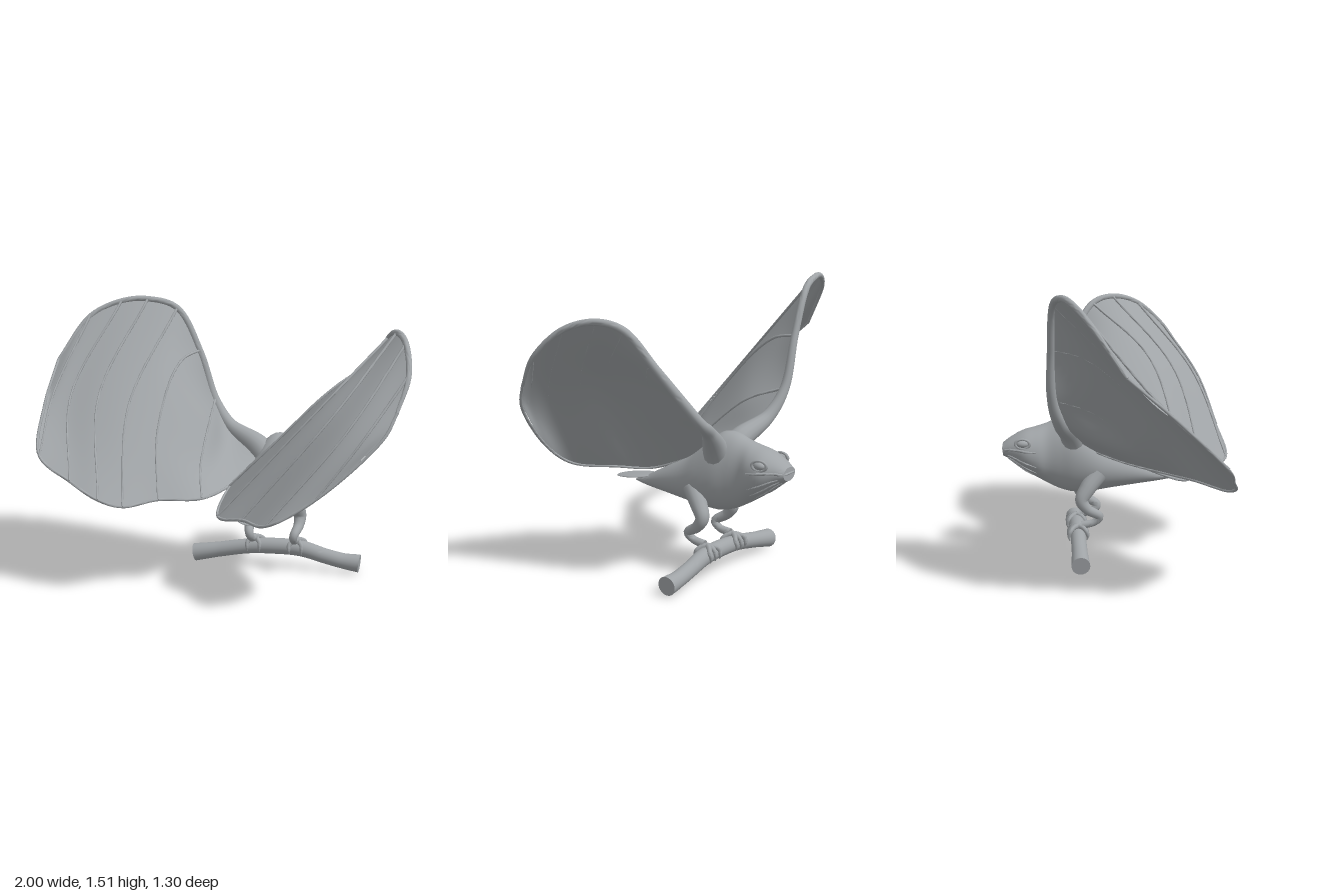
import * as THREE from 'three';
import { mergeVertices, toCreasedNormals } from 'three/addons/utils/BufferGeometryUtils.js';

const grey = new THREE.MeshStandardMaterial({ color: 0xa0a4a7, side: THREE.DoubleSide });
grey.name = 'stone grey';
const MID = 0.215; // x of the body's middle plane
const v3 = (p) => new THREE.Vector3(p[0], p[1], p[2]);
const spline = (pts, type = 'centripetal') => new THREE.CatmullRomCurve3(pts.map(v3), false, type);

// Skin a rectangular grid of points
function skin(rows) {
  const pos = [], idx = [], n = rows[0].length;
  rows.forEach((row) => row.forEach((p) => pos.push(p.x, p.y, p.z)));
  for (let i = 0; i < rows.length - 1; i++) {
    for (let j = 0; j < n - 1; j++) {
      const a = i * n + j, b = a + n;
      idx.push(a, a + 1, b, b, a + 1, b + 1);
    }
  }
  const g = new THREE.BufferGeometry();
  g.setAttribute('position', new THREE.Float32BufferAttribute(pos, 3));
  g.setIndex(idx);
  return toCreasedNormals(mergeVertices(g, 1e-5), 0.9);
}

// Tapering tube through points, closed at both ends; one radius per point
function limb(points, radii, steps = 40, sides = 12) {
  const curve = spline(points), f = curve.computeFrenetFrames(steps, false);
  const rows = [];
  const ring = (i, scale) => {
    const u = i / steps, c = curve.getPointAt(u);
    const t = curve.getUtoTmapping(u) * (radii.length - 1);
    const k = Math.min(Math.floor(t), radii.length - 2);
    const r = scale * THREE.MathUtils.lerp(radii[k], radii[k + 1], t - k);
    const row = [];
    for (let j = 0; j <= sides; j++) {
      const a = (j / sides) * Math.PI * 2;
      row.push(c.clone().addScaledVector(f.normals[i], r * Math.cos(a)).addScaledVector(f.binormals[i], r * Math.sin(a)));
    }
    rows.push(row);
  };
  ring(0, 0);
  for (let i = 0; i <= steps; i++) ring(i, 1);
  ring(steps, 0);
  return skin(rows);
}

function add(group, name, geometry) {
  const m = new THREE.Mesh(geometry, grey);
  m.name = name;
  group.add(m);
  return m;
}

// Body profile stations: z, top, bottom, half width
const STATIONS = [
  [-0.645, 0.625, 0.555, 0.056], [-0.6, 0.658, 0.53, 0.084], [-0.53, 0.695, 0.475, 0.12],
  [-0.46, 0.715, 0.43, 0.12], [-0.4, 0.735, 0.395, 0.106], [-0.33, 0.762, 0.36, 0.115],
  [-0.25, 0.755, 0.34, 0.132], [-0.15, 0.675, 0.345, 0.135], [-0.05, 0.6, 0.36, 0.118],
  [0.1, 0.525, 0.38, 0.085], [0.22, 0.462, 0.395, 0.05], [0.315, 0.42, 0.41, 0.01]];
const heights = spline(STATIONS.map((s) => [s[0], s[1], s[2]]), 'catmullrom');
const widths = spline(STATIONS.map((s) => [s[0], s[3], 0]), 'catmullrom');
function bodyPoint(u, angle, scale = 1) {
  const h = heights.getPoint(u), w = widths.getPoint(u).y;
  return new THREE.Vector3(MID + scale * w * Math.cos(angle),
    (h.y + h.z) / 2 + scale * ((h.y - h.z) / 2) * Math.sin(angle), h.x);
}

function makeBody() {
  const body = new THREE.Group();
  body.name = 'body';
  const rows = [], n = 50, sides = 32;
  const ring = (u, s) => rows.push(Array.from({ length: sides + 1 },
    (_, j) => bodyPoint(u, (j / sides) * Math.PI * 2, s)));
  ring(0, 0);
  for (let i = 0; i <= n; i++) ring(i / n, 1);
  ring(1, 0);
  add(body, 'torso', skin(rows));
  // Flat tail fan
  const tail = add(body, 'tail', new THREE.SphereGeometry(1, 20, 12));
  tail.scale.set(0.08, 0.009, 0.13);
  tail.rotation.x = 0.12;
  tail.position.set(MID, 0.443, 0.31);

  const trace = (us, angle) => us.map((u) => bodyPoint(u, angle).toArray());
  // Mouth line runs round the muzzle
  const cheek = trace([0.27, 0.18, 0.09, 0.02], 0.1);
  const far = cheek.map((p) => [2 * MID - p[0], p[1], p[2]]).reverse();
  add(body, 'mouth', limb([...cheek, ...far], [0.003, 0.007, 0.007, 0.006, 0.006, 0.007, 0.007, 0.003], 60, 8));
  for (const s of [-1, 1]) {
    // Throat pleats
    for (const k of [0.35, 0.7, 1.05]) {
      add(body, 'throatPleat', limb(trace([0.06, 0.13, 0.2, 0.27], -Math.PI / 2 + s * k), [0.003, 0.006, 0.006, 0.002], 16, 8));
    }
    const eye = add(body, 'eye', new THREE.SphereGeometry(1, 20, 14));
    eye.scale.set(0.02, 0.02, 0.032);
    eye.position.set(MID + s * 0.108, 0.637, -0.535);
    const lid = add(body, 'eyelid', new THREE.TorusGeometry(0.034, 0.008, 8, 28));
    lid.scale.set(1.15, 0.75, 1);
    lid.rotation.y = Math.PI / 2 + s * 0.15;
    lid.position.set(MID + s * 0.108, 0.637, -0.535);
  }
  return body;
}

// Ribs run from the trailing edge to the leading edge
const LEFT_RIBS = [
  [[0.17, 0.62, -0.2], [0.24, 0.66, -0.23], [0.32, 0.69, -0.27]],
  [[0.12, 0.61, -0.15], [0.32, 0.76, -0.2], [0.46, 0.8, -0.33]],
  [[0.08, 0.59, -0.1], [0.28, 0.78, -0.12], [0.48, 0.93, -0.2], [0.6, 0.885, -0.372]],
  [[0.03, 0.53, 0.08], [0.27, 0.77, 0.08], [0.52, 1.025, 0.0], [0.66, 1.13, -0.11], [0.752, 1.15, -0.232]],
  [[0.04, 0.435, 0.35], [0.57, 1.03, 0.21], [0.84, 1.335, -0.11]],
  [[0.2, 0.46, 0.47], [0.62, 0.97, 0.35], [0.895, 1.372, 0.01]],
  [[0.36, 0.485, 0.63], [0.72, 0.93, 0.48], [0.955, 1.33, 0.165]],
  [[0.6, 0.63, 0.61], [0.8, 0.9, 0.52], [0.988, 1.19, 0.325]],
  [[0.9, 0.92, 0.5], [0.925, 0.96, 0.48], [0.95, 1.03, 0.44]]];
const RIGHT_RIBS = [
  [[0.13, 0.6, -0.18], [0.11, 0.64, -0.22], [0.1, 0.69, -0.27]],
  [[0.04, 0.54, 0.02], [-0.04, 0.64, -0.1], [-0.08, 0.79, -0.335]],
  [[-0.08, 0.5, 0.25], [-0.13, 0.64, 0.1], [-0.15, 0.85, -0.16], [-0.18, 0.93, -0.375]],
  [[-0.28, 0.51, 0.37], [-0.35, 0.8, 0.17], [-0.35, 1.08, -0.09], [-0.32, 1.175, -0.24], [-0.27, 1.2, -0.38]],
  [[-0.43, 0.495, 0.5], [-0.52, 0.95, 0.13], [-0.4, 1.44, -0.37]],
  [[-0.55, 0.53, 0.53], [-0.69, 1, 0.12], [-0.56, 1.49, -0.335]],
  [[-0.72, 0.61, 0.49], [-0.85, 1, 0.12], [-0.7, 1.48, -0.29]],
  [[-0.91, 0.72, 0.43], [-0.95, 1, 0.13], [-0.86, 1.4, -0.21]],
  [[-0.975, 0.95, 0.2], [-0.985, 1.03, 0.09], [-0.993, 1.17, -0.05]]];

function makeWing(name, ribs, side) {
  const wing = new THREE.Group();
  wing.name = name;
  const curves = ribs.map((r) => spline(r)), last = ribs.length - 1;
  // Membrane lofted across the ribs
  const columns = [];
  for (let j = 0; j <= 30; j++) {
    const across = new THREE.CatmullRomCurve3(curves.map((c) => c.getPointAt(j / 30)));
    columns.push(across.getPoints(last * 8));
  }
  add(wing, 'membrane', skin(columns));
  // Raised ribs, lifted along the surface normal to the inner face only
  for (let i = 2; i < last; i++) {
    const pts = [];
    for (let j = 0; j <= 14; j++) {
      const u = j / 14, across = curves[i + 1].getPointAt(u).sub(curves[i - 1].getPointAt(u));
      const normal = curves[i].getTangentAt(u).cross(across).normalize();
      pts.push(curves[i].getPointAt(u).addScaledVector(normal, -side * 0.006).toArray());
    }
    add(wing, 'rib', limb(pts, [0.005, 0.006, 0.0075], 36, 8));
  }
  // Arm and leading edge, then the thin trailing hem
  const lead = ribs.map((r) => r[r.length - 1]);
  const radii = [0.064, 0.037, 0.026, ...lead.slice(3, last).map((_, i) => 0.02 - 0.0015 * i), 0.008];
  add(wing, 'arm', limb([[MID + side * 0.025, 0.59, -0.24], ...lead], [0.075, ...radii], 90, 14));
  add(wing, 'trailingHem', limb([...ribs.map((r) => r[0]), lead[last]], [0.008, 0.008], 80, 8));
  return wing;
}

function makeLeg(s) {
  const leg = new THREE.Group();
  leg.name = s > 0 ? 'leftLeg' : 'rightLeg';
  const x = (d) => MID + s * d;
  add(leg, 'shank', limb([[x(0.085), 0.46, -0.12], [x(0.12), 0.385, -0.18], [x(0.14), 0.32, -0.215],
    [x(0.14), 0.27, -0.185], [x(0.125), 0.222, -0.115], [x(0.12), 0.19, -0.145], [x(0.12), 0.175, -0.215]],
  [0.055, 0.045, 0.036, 0.029, 0.023, 0.02, 0.022], 48, 14));
  // Toes curl round both sides of the branch
  const toe = (dx, dir) => {
    const pts = [0.0, 0.5, 1.0, 1.5, 2.0].map((a, i) => [x(0.12) + dx * Math.min(1, i / 2),
      0.12 + 0.052 * Math.cos(a), -0.235 + dir * 0.052 * Math.sin(a)]);
    add(leg, 'toe', limb(pts, [0.016, 0.014, 0.012, 0.01, 0.003], 20, 8));
  };
  for (const dx of [-0.042, 0, 0.042]) toe(dx, -1);
  for (const dx of [-0.035, 0.035]) toe(dx, 1);
  return leg;
}

export function createModel() {
  const model = new THREE.Group();
  model.name = 'perched winged creature';
  model.add(makeBody());
  model.add(makeWing('leftWing', LEFT_RIBS, 1), makeWing('rightWing', RIGHT_RIBS, -1));
  model.add(makeLeg(1), makeLeg(-1));
  // Bent perch
  add(model, 'branch', limb([[-0.26, 0.053, -0.235], [-0.12, 0.08, -0.235], [0.05, 0.112, -0.235],
    [0.2, 0.125, -0.235], [0.36, 0.122, -0.235], [0.5, 0.088, -0.235], [0.6, 0.068, -0.235], [0.69, 0.06, -0.235]],
  [0.05, 0.043, 0.042, 0.045, 0.045, 0.042, 0.043, 0.05], 60, 20));
  return model;
}
